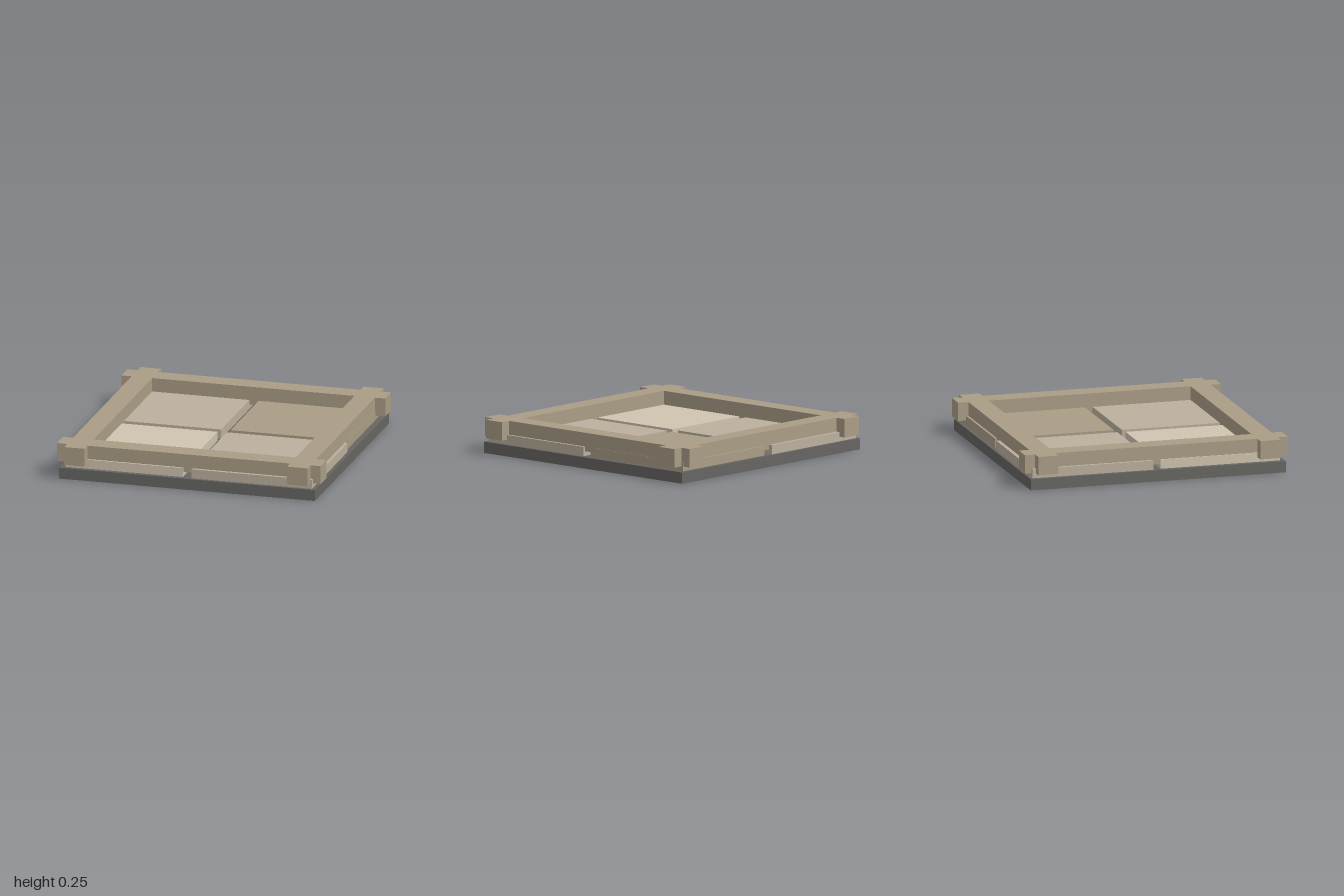
import * as THREE from 'three';

const material = (color) => new THREE.MeshStandardMaterial({ color, flatShading: true });

// Box given by its minimum and maximum on each axis
function block(name, [x0, x1], [y0, y1], [z0, z1], mat) {
  const mesh = new THREE.Mesh(new THREE.BoxGeometry(x1 - x0, y1 - y0, z1 - z0), mat);
  mesh.position.set((x0 + x1) / 2, (y0 + y1) / 2, (z0 + z1) / 2);
  mesh.name = name;
  return mesh;
}

// Four crossed beams as one extruded outline with a square opening
function crossedFrame(inner, outer, end, bottom, top, mat) {
  const corner = [[inner, outer], [inner, end], [outer, end], [outer, outer],
    [end, outer], [end, inner], [outer, inner]].reverse();
  const points = [];
  for (let i = 0; i < 4; i++) {
    const turn = i * Math.PI / 2;
    for (const [x, y] of corner) {
      points.push(new THREE.Vector2(x, y).rotateAround(new THREE.Vector2(), turn));
    }
  }
  const shape = new THREE.Shape(points);
  shape.holes.push(new THREE.Path([[-inner, -inner], [-inner, inner], [inner, inner], [inner, -inner]]
    .map(([x, y]) => new THREE.Vector2(x, y))));
  const geometry = new THREE.ExtrudeGeometry(shape, { depth: top - bottom, bevelEnabled: false });
  geometry.rotateX(-Math.PI / 2).translate(0, bottom, 0);
  const mesh = new THREE.Mesh(geometry, mat);
  mesh.name = 'crossedBeamFrame';
  return mesh;
}

export function createModel() {
  const model = new THREE.Group();
  model.name = 'framedFloorPanel';
  const stone = material(0x666562);
  const wood = material(0xaa9d86);
  const paleTile = material(0xd0c4b0);
  const midTile = material(0xbcb09e);

  // Dark base slab
  model.add(block('baseSlab', [-0.97, 0.97], [0, 0.083], [-0.97, 0.97], stone));

  // Four slightly uneven floor tiles
  const tileHeight = [0.083, 0.152];
  model.add(
    block('backRightTile', [-0.945, -0.03], tileHeight, [-0.95, -0.03], midTile),
    block('backLeftTile', [0.04, 0.925], tileHeight, [-0.94, -0.035], wood),
    block('frontRightTile', [-0.93, -0.04], tileHeight, [0.03, 0.935], paleTile),
    block('frontLeftTile', [0.028, 0.942], tileHeight, [0.022, 0.947], midTile),
  );

  // Beams crossing past each other at the corners
  model.add(crossedFrame(0.767, 0.922, 1, 0.117, 0.254, wood));
  return model;
}
